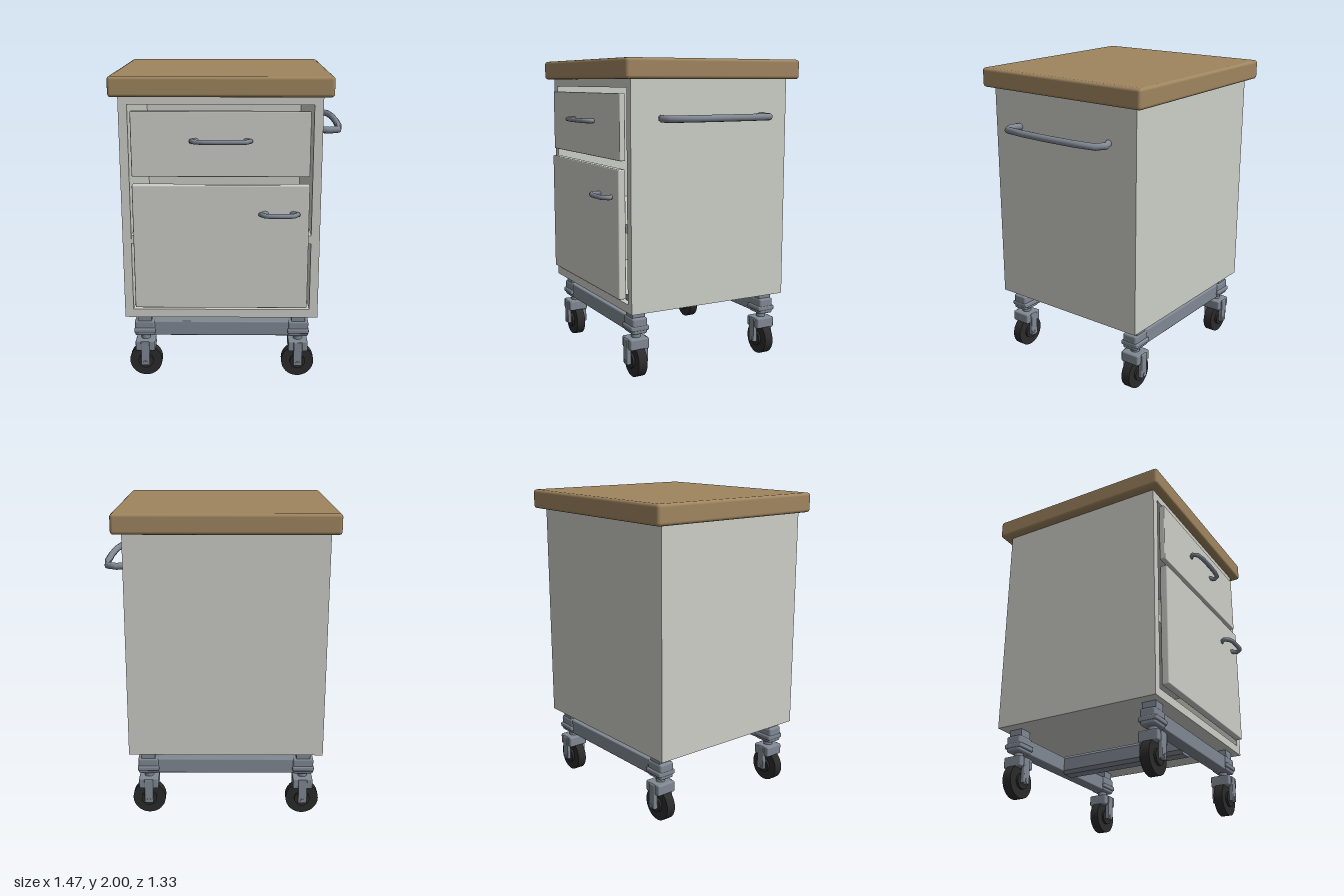
import * as THREE from 'three';
import { RoundedBoxGeometry } from 'three/addons/geometries/RoundedBoxGeometry.js';

const material = (name, color) => {
  const m = new THREE.MeshStandardMaterial({ color });
  m.name = name;
  return m;
};

// Straight-segment path with mitred corners, for the bent bar handles
class BentPath extends THREE.Curve {
  constructor(points) { super(); this.points = points; }
  getPoint(t) {
    const s = t * (this.points.length - 1);
    const i = Math.min(Math.floor(s), this.points.length - 2);
    return this.points[i].clone().lerp(this.points[i + 1], s - i);
  }
  getPointAt(t) { return this.getPoint(t); }
  getTangentAt(t) {
    const p = this.points, n = p.length - 1, i = Math.round(t * n);
    const dir = (a, b) => p[b].clone().sub(p[a]).normalize();
    if (i === 0) return dir(0, 1);
    if (i === n) return dir(n - 1, n);
    return dir(i - 1, i).add(dir(i, i + 1)).normalize();
  }
}

export function createModel() {
  const wood = material('wood', 0x9f855f);
  const paint = material('pale grey paint', 0xcccec7);
  const metal = material('steel', 0x808893);
  const rubber = material('black rubber', 0x2b2b2b);
  const model = new THREE.Group();
  model.name = 'rollingCabinet';

  const add = (name, geometry, mat, parent = model) => {
    const mesh = new THREE.Mesh(geometry, mat);
    mesh.name = name;
    parent.add(mesh);
    return mesh;
  };
  // Box given by its extents on each axis, with an optional edge radius
  const box = (name, [x0, x1], [y0, y1], [z0, z1], mat, r = 0, parent = model) => {
    const size = [x1 - x0, y1 - y0, z1 - z0];
    const g = r ? new RoundedBoxGeometry(...size, 2, r) : new THREE.BoxGeometry(...size);
    g.translate((x0 + x1) / 2, (y0 + y1) / 2, (z0 + z1) / 2);
    return add(name, g, mat, parent);
  };
  const rect = (C, x0, x1, y0, y1) => new C([[x0, y0], [x1, y0], [x1, y1], [x0, y1]]
    .map(([x, y]) => new THREE.Vector2(x, y)));

  // Worktop and hollow cabinet with shelf
  box('worktop', [-0.735, 0.63], [1.875, 2], [-0.665, 0.585], wood, 0.02);
  const shell = rect(THREE.Shape, -0.68, 0.57, 0.44, 1.875);
  shell.holes.push(rect(THREE.Path, -0.625, 0.515, 0.495, 1.825));
  const shellGeo = new THREE.ExtrudeGeometry(shell, { depth: 1.075, bevelEnabled: false });
  add('cabinetShell', shellGeo.translate(0, 0, -0.545), paint);
  box('cabinetBack', [-0.68, 0.57], [0.44, 1.875], [-0.6, -0.545], paint);
  box('shelf', [-0.625, 0.515], [0.94, 0.995], [-0.545, 0.525], paint);
  box('drawerFront', [-0.605, 0.495], [1.385, 1.79], [0.53, 0.567], paint, 0.006);
  box('door', [-0.605, 0.495], [0.525, 1.335], [0.53, 0.58], paint, 0.008);

  // Bowed handle: half length along x, reach along +z
  const handle = (name, half, reach, r) => {
    const side = [[half - 0.055, -0.012], [half - r, reach * 0.5], [half - r * 2.6, reach * 0.86], [half * 0.5, reach * 0.97]];
    const pts = [...side.map(([x, z]) => [-x, z]), [0, reach], ...side.reverse()]
      .map(([x, z]) => new THREE.Vector3(x, 0, z - (z > 0 ? r : 0)));
    return add(name, new THREE.TubeGeometry(new BentPath(pts), pts.length - 1, r, 12), metal);
  };
  handle('drawerHandle', 0.195, 0.08, 0.015).position.set(-0.053, 1.612, 0.565);
  handle('doorHandle', 0.13, 0.085, 0.015).position.set(0.308, 1.157, 0.58);
  const push = handle('pushHandle', 0.408, 0.162, 0.022);
  push.position.set(0.57, 1.64, -0.037);
  push.rotation.y = Math.PI / 2;

  // Chamfered beam linking the two axle rails
  const [w, h, c] = [0.063, 0.064, 0.022];
  const beam = new THREE.Shape([[-w + c, -h], [w - c, -h], [w, -h + c], [w, h - c],
    [w - c, h], [-w + c, h], [-w, h - c], [-w, -h + c]].map(([x, y]) => new THREE.Vector2(x, y)));
  const beamGeo = new THREE.ExtrudeGeometry(beam, { depth: 0.89, bevelEnabled: false });
  add('centreBeam', beamGeo.translate(-0.054, 0.34, -0.48), metal);

  // One caster: post, end clamp, swivel fork and wheel
  const caster = (name, x, z) => {
    const g = new THREE.Group();
    g.name = name;
    g.position.set(x, 0, z);
    model.add(g);
    box('post', [-0.045, 0.045], [0.38, 0.53], [-0.045, 0.045], metal, 0, g);
    box('railEnd', [-0.067, 0.067], [0.29, 0.396], [-0.052, 0.052], metal, 0.014, g);
    box('clampRidge', [-0.07, 0.07], [0.312, 0.345], [-0.063, 0.063], metal, 0.01, g);
    add('stem', new THREE.CylinderGeometry(0.03, 0.03, 0.06, 16), metal, g).position.y = 0.275;
    box('forkCrown', [-0.064, 0.064], [0.188, 0.26], [-0.066, 0.066], metal, 0.01, g);
    for (const s of [-1, 1]) {
      box('forkLeg', [-0.029, 0.029], [0.088, 0.255], [s * 0.06 - 0.014, s * 0.06 + 0.014], metal, 0.006, g);
    }
    const round = (part, r, length, mat) => {
      const geo = new THREE.CylinderGeometry(r, r, length, 32).rotateX(Math.PI / 2);
      add(part, geo, mat, g).position.y = 0.107;
    };
    round('tyre', 0.107, 0.06, rubber);
    round('hub', 0.05, 0.09, rubber);
    round('axle', 0.014, 0.156, metal);
  };
  for (const [end, z] of [['front', 0.445], ['rear', -0.517]]) {
    box(end + 'Rail', [-0.6, 0.49], [0.293, 0.393], [z - 0.045, z + 0.045], metal, 0.008);
    caster(end + 'RightCaster', -0.56, z);
    caster(end + 'LeftCaster', 0.45, z);
  }
  return model;
}
